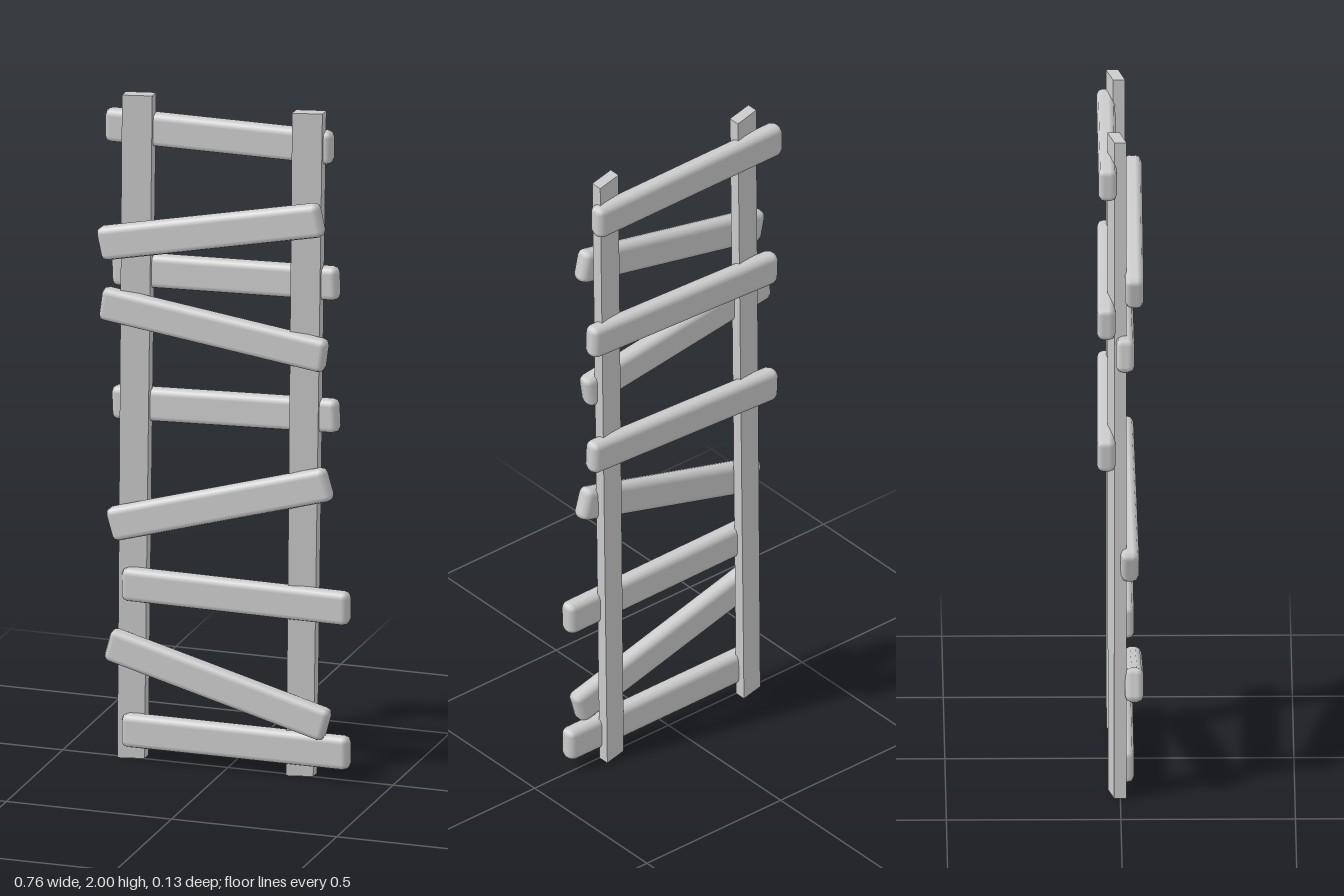
import * as THREE from 'three';
import { RoundedBoxGeometry } from 'three/addons/geometries/RoundedBoxGeometry.js';

const material = new THREE.MeshStandardMaterial({ color: 0xcccccc });

// Upright: a plank skewed in plan, leaning and widening slightly towards the top
function makeRail(name, bottomX, topX) {
  const geometry = new THREE.BoxGeometry(1, 2, 0.035);
  const p = geometry.attributes.position;
  for (let i = 0; i < p.count; i++) {
    const t = (p.getY(i) + 1) / 2;
    const across = p.getX(i) * THREE.MathUtils.lerp(0.076, 0.085, t);
    p.setXYZ(i,
      THREE.MathUtils.lerp(bottomX, topX, t) + across,
      t * 2,
      p.getZ(i) - 0.009 - across * 0.23);
  }
  geometry.computeVertexNormals();
  const mesh = new THREE.Mesh(geometry, material);
  mesh.name = name;
  return mesh;
}

// Rungs from bottom to top: centre x, y, z, tilt and yaw in degrees
const rungs = [
  [0.03, 0.087, 0.013, 0, 0],
  [-0.016, 0.262, 0.04, -15.2, 0],
  [0.03, 0.525, 0.013, -0.4, 0],
  [-0.016, 0.8, 0.022, 16, 1],
  [-0.018, 1.069, -0.038, 2.5, -0.5],
  [-0.037, 1.322, 0.014, -7.7, 0],
  [-0.018, 1.47, -0.038, 2.2, -0.5],
  [-0.037, 1.625, 0.04, 12, 0],
  [-0.037, 1.89, -0.037, 0, 0],
];

export function createModel() {
  const group = new THREE.Group();
  group.name = 'ladder';

  group.add(makeRail('rightRail', -0.291, -0.272));
  group.add(makeRail('leftRail', 0.22, 0.243));

  // Crooked rungs with bevelled edges
  const rungGeometry = new RoundedBoxGeometry(0.688, 0.1, 0.053, 1, 0.019);
  rungs.forEach(([x, y, z, tilt, yaw], i) => {
    const rung = new THREE.Mesh(rungGeometry, material);
    rung.name = `rung${i + 1}`;
    rung.position.set(x, y, z);
    rung.rotation.set(0, THREE.MathUtils.degToRad(yaw), THREE.MathUtils.degToRad(tilt));
    group.add(rung);
  });

  return group;
}
